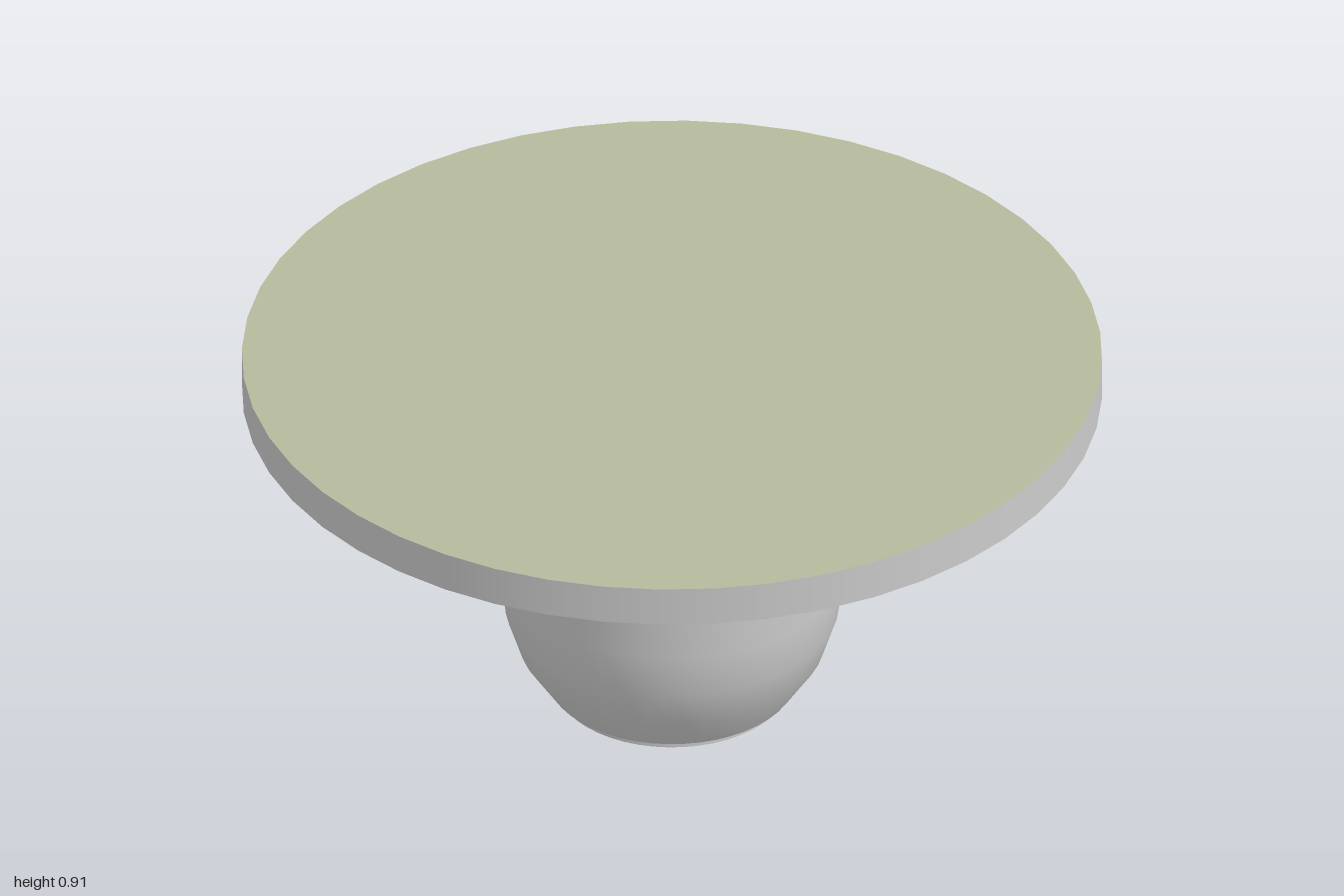
import * as THREE from 'three';
import { mergeGeometries } from 'three/addons/utils/BufferGeometryUtils.js';

const SEGMENTS = 48;

// Each run of [radius, height] points is smooth; edges between runs stay sharp.
function turned(name, runs, material) {
  const parts = runs.map((run) =>
    new THREE.LatheGeometry(run.map(([r, y]) => new THREE.Vector2(r, y)), SEGMENTS));
  const mesh = new THREE.Mesh(mergeGeometries(parts), material);
  mesh.name = name;
  return mesh;
}

// Splits a profile into one run per straight edge.
const edges = (points) => points.slice(1).map((p, i) => [points[i], p]);

export function createModel() {
  const group = new THREE.Group();
  group.name = 'roundPedestal';
  const grey = new THREE.MeshStandardMaterial({ color: 0xcccccc });
  const sage = new THREE.MeshStandardMaterial({ color: 0xb5b99d });

  // Foot ring with a shallow recess underneath
  group.add(turned('footRing', edges([
    [0, 0.04], [0.25, 0.04], [0.25, 0], [0.27, 0], [0.27, 0.022], [0.29, 0.022],
  ]), grey));

  // Rounded cup: curved lower part, straight upper wall
  group.add(turned('cup', [[
    [0.29, 0.022], [0.355, 0.12], [0.388, 0.22], [0.4, 0.33], [0.4, 0.615],
  ]], grey));

  // Cone flaring out to the plate
  group.add(turned('flare', [[[0.4, 0.615], [0.625, 0.815]]], grey));

  // Plate underside and rim
  group.add(turned('plate', edges([[0.625, 0.815], [1, 0.815], [1, 0.912]]), grey));

  // Coloured top surface
  const top = new THREE.Mesh(new THREE.CircleGeometry(1, SEGMENTS), sage);
  top.name = 'topSurface';
  top.rotation.x = -Math.PI / 2;
  top.position.y = 0.912;
  group.add(top);

  return group;
}
